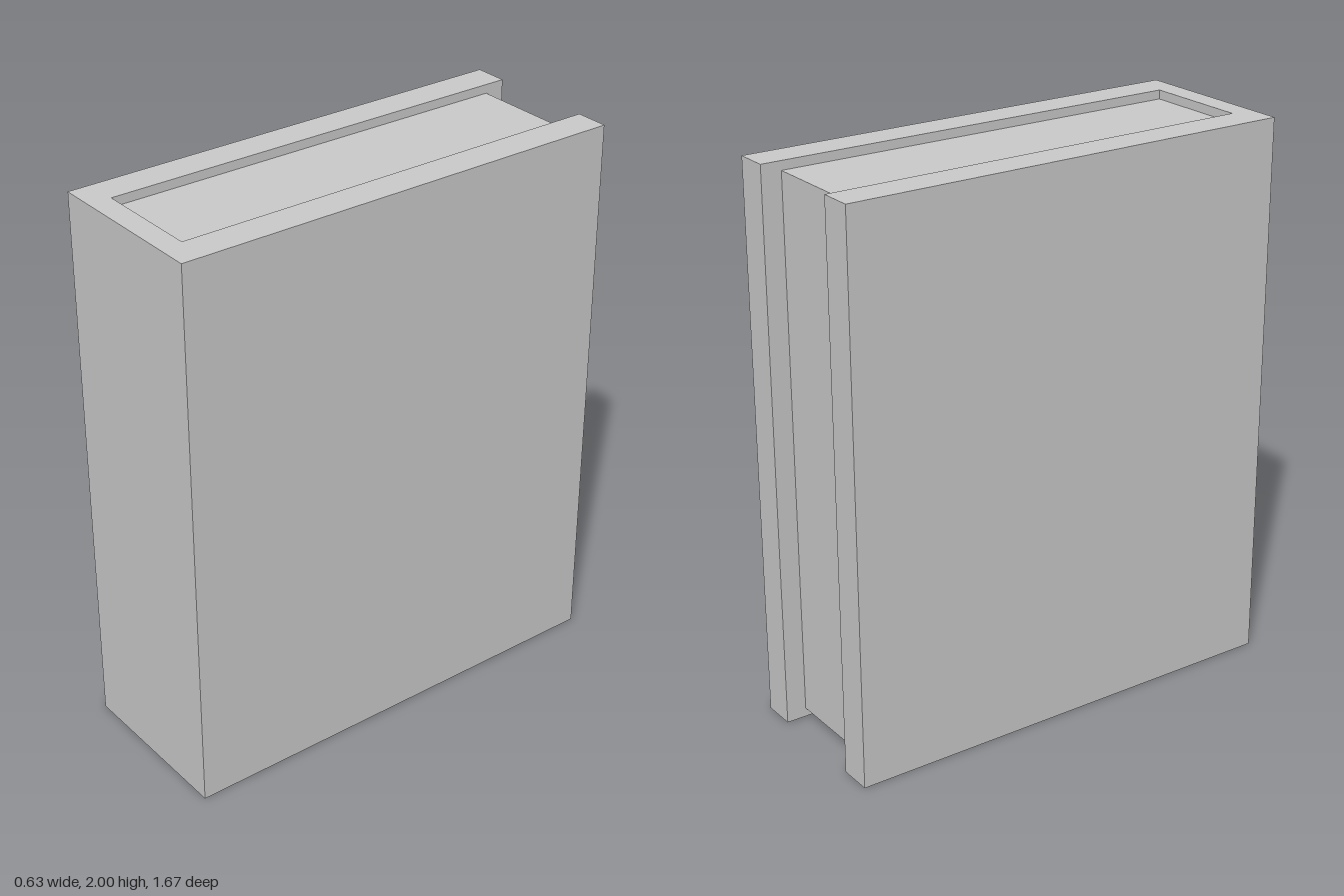
import * as THREE from 'three';

export function createModel() {
  const model = new THREE.Group();
  model.name = 'book';
  const material = new THREE.MeshStandardMaterial({ color: 0xcccccc, flatShading: true });

  const height = 2, halfWidth = 0.313, halfDepth = 0.835;
  const innerX = 0.193, innerFront = 0.753; // inside faces of boards and spine
  const pageBack = -0.762, recess = 0.032;

  // Cover: U-shaped section (two boards and a spine) extruded upright
  const section = new THREE.Shape([
    [-halfWidth, -halfDepth], [-innerX, -halfDepth], [-innerX, innerFront], [innerX, innerFront],
    [innerX, -halfDepth], [halfWidth, -halfDepth], [halfWidth, halfDepth], [-halfWidth, halfDepth],
  ].map(([x, z]) => new THREE.Vector2(x, z)));
  const coverGeometry = new THREE.ExtrudeGeometry(section, { depth: height, bevelEnabled: false });
  coverGeometry.rotateX(Math.PI / 2).translate(0, height, 0);
  const cover = new THREE.Mesh(coverGeometry, material);
  cover.name = 'cover';

  // Page block: set in from the top, bottom and open edge
  const pages = new THREE.Mesh(
    new THREE.BoxGeometry(innerX * 2, height - recess * 2, innerFront - pageBack), material);
  pages.name = 'pages';
  pages.position.set(0, height / 2, (innerFront + pageBack) / 2);

  model.add(cover, pages);
  return model;
}
